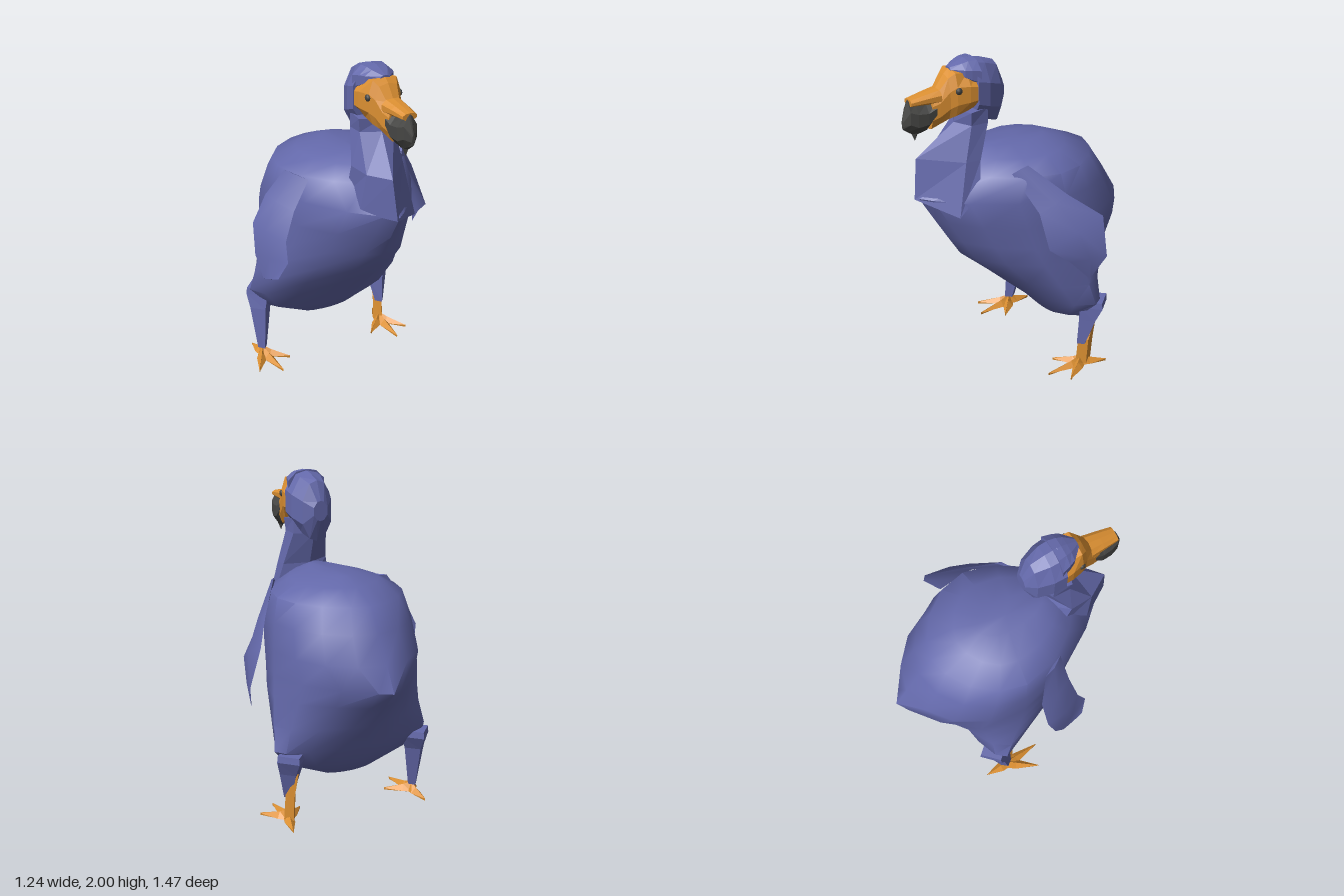
import * as THREE from 'three';
import { toCreasedNormals } from 'three/addons/utils/BufferGeometryUtils.js';

const mat = (name, color) => {
  const m = new THREE.MeshStandardMaterial({ color });
  m.name = name;
  return m;
};

// Closed skin over a list of equal-length point rings; smooth or faceted
function loft(rings, smooth = false) {
  const n = rings[0].length, pos = [], idx = [];
  rings.forEach(r => r.forEach(p => pos.push(...p)));
  for (let i = 0; i < rings.length - 1; i++) {
    for (let j = 0; j < n; j++) {
      const a = i * n + j, b = i * n + (j + 1) % n;
      idx.push(a, b, b + n, a, b + n, a + n);
    }
  }
  // end caps around ring centres
  [0, rings.length - 1].forEach((k, end) => {
    const c = pos.length / 3;
    pos.push(...[0, 1, 2].map(d => rings[k].reduce((s, p) => s + p[d], 0) / n));
    for (let j = 0; j < n; j++) {
      const a = k * n + j, b = k * n + (j + 1) % n;
      end ? idx.push(a, b, c) : idx.push(b, a, c);
    }
  });
  // turn the skin outwards
  const v = i => new THREE.Vector3(pos[i * 3], pos[i * 3 + 1], pos[i * 3 + 2]);
  let volume = 0;
  for (let i = 0; i < idx.length; i += 3) {
    volume += v(idx[i]).dot(v(idx[i + 1]).cross(v(idx[i + 2])));
  }
  if (volume < 0) idx.reverse();
  let g = new THREE.BufferGeometry();
  g.setAttribute('position', new THREE.Float32BufferAttribute(pos, 3));
  g.setIndex(idx);
  if (smooth) return toCreasedNormals(g, 0.9);
  g = g.toNonIndexed();
  g.computeVertexNormals();
  return g;
}

// Horizontal body ring, tapering towards breast and tail
function level(y, front, back, half, mid, frontSharp, backSharp) {
  return Array.from({ length: 16 }, (_, i) => {
    const a = (i / 16) * Math.PI * 2, c = Math.cos(a), s = Math.sin(a);
    const x = Math.sign(s) * Math.pow(Math.abs(s), c > 0 ? frontSharp : backSharp) * half;
    return [x - 0.025, y, mid + c * (c > 0 ? front - mid : mid - back)];
  });
}

// Upright ten-point head ring at depth z
function slice(z, bottom, top, half, flat = 0.5) {
  const m = (top + bottom) / 2, h = (top - bottom) / 2;
  return [[0, 1], [flat, 0.9], [1, 0.35], [1, -0.4], [flat, -0.9], [0, -1],
    [-flat, -0.9], [-1, -0.4], [-1, 0.35], [-flat, 0.9]]
    .map(([x, y]) => [-0.01 + x * half, m + y * h, z]);
}

export function createModel() {
  const model = new THREE.Group();
  const blue = mat('blue plumage', 0x6469ab);
  const orange = mat('orange skin', 0xdc9032);
  const dark = mat('dark horn', 0x464644);
  const add = (name, geometry, material, parent = model) => {
    const mesh = new THREE.Mesh(geometry, material);
    mesh.name = name;
    parent.add(mesh);
    return mesh;
  };

  // Body: y, front z, back z, half width, z of widest point, front and back taper
  add('body', loft([
    [0.26, -0.16, -0.25, 0.16, -0.2, 1.2, 1.2],
    [0.36, -0.07, -0.34, 0.4, -0.21, 1.2, 1.2],
    [0.48, 0.06, -0.41, 0.51, -0.25, 1.5, 1.2],
    [0.62, 0.21, -0.47, 0.49, -0.21, 1.5, 1.6],
    [0.78, 0.39, -0.62, 0.465, -0.16, 1.5, 2],
    [0.9, 0.465, -0.73, 0.445, -0.12, 1.6, 1.9],
    [1.04, 0.55, -0.65, 0.435, -0.1, 1.7, 1.05],
    [1.2, 0.645, -0.555, 0.42, -0.08, 1.95, 1.1],
    [1.34, 0.45, -0.47, 0.39, -0.06, 1.6, 1.3],
    [1.41, 0.34, -0.3, 0.26, -0.05, 1.3, 1.2],
    [1.45, 0.25, -0.18, 0.1, -0.02, 1.2, 1.2],
  ].map(r => level(...r)), true), blue);

  // Neck: slanting front facet that ends in a point on the left of the breast
  add('neck', loft([
    [[-0.05, 1.19, 0.662], [0.175, 1.12, 0.49], [0.18, 1.25, 0.36],
      [0, 1.35, 0.2], [-0.17, 1.25, 0.3], [-0.18, 1.2, 0.47]],
    [[-0.07, 1.43, 0.635], [0.13, 1.43, 0.42], [0.135, 1.43, 0.33],
      [-0.01, 1.44, 0.26], [-0.17, 1.44, 0.36], [-0.155, 1.43, 0.5]],
    [[-0.01, 1.63, 0.42], [0.1, 1.63, 0.365], [0.1, 1.63, 0.26],
      [-0.01, 1.63, 0.2], [-0.12, 1.63, 0.26], [-0.12, 1.63, 0.365]],
    [[-0.01, 1.7, 0.41], [0.11, 1.71, 0.37], [0.1, 1.72, 0.26],
      [-0.01, 1.72, 0.2], [-0.12, 1.72, 0.26], [-0.13, 1.71, 0.37]],
  ]), blue);

  // Hood over the back of the head, with a peaked cap reaching over the face
  add('hood', loft([
    slice(0.115, 1.72, 1.84, 0.045),
    slice(0.165, 1.59, 1.955, 0.095),
    slice(0.25, 1.62, 1.985, 0.125, 0.55),
    slice(0.325, 1.65, 2.0, 0.13, 0.55),
  ]), blue);
  add('cap', loft([
    slice(0.3, 1.82, 2.0, 0.12, 0.55),
    slice(0.35, 1.85, 1.997, 0.105, 0.55),
    slice(0.385, 1.88, 1.985, 0.09, 0.55),
    slice(0.445, 1.93, 1.96, 0.03),
  ]), blue);

  // Bare face running into the beak
  add('face', loft([
    slice(0.315, 1.72, 1.92, 0.125, 0.6),
    slice(0.37, 1.7, 1.945, 0.12, 0.65),
    slice(0.44, 1.68, 1.955, 0.1, 0.75),
    slice(0.475, 1.665, 1.925, 0.08, 0.7),
    slice(0.53, 1.64, 1.85, 0.066, 0.6),
    slice(0.575, 1.62, 1.835, 0.054, 0.6),
  ]), orange);
  add('beakRidge', loft([
    slice(0.52, 1.765, 1.855, 0.066, 0.6),
    slice(0.6, 1.775, 1.84, 0.056, 0.6),
    slice(0.695, 1.78, 1.82, 0.044, 0.6),
  ]), orange);
  add('beakTip', loft([
    slice(0.55, 1.69, 1.785, 0.062, 0.6),
    slice(0.6, 1.62, 1.79, 0.062, 0.4),
    slice(0.66, 1.6, 1.805, 0.054, 0.3),
    slice(0.702, 1.625, 1.815, 0.042, 0.25),
    slice(0.735, 1.65, 1.71, 0.008),
  ]), dark);
  const hook = add('beakHook', new THREE.ConeGeometry(0.035, 0.08, 4).toNonIndexed(), dark);
  hook.geometry.computeVertexNormals();
  hook.position.set(-0.01, 1.608, 0.663);
  hook.rotation.x = Math.PI;

  // Eyes
  for (const side of [1, -1]) {
    const eye = add(side > 0 ? 'leftEye' : 'rightEye', new THREE.SphereGeometry(0.021, 8, 6), dark);
    eye.position.set(-0.01 + side * 0.1, 1.845, 0.432);
    eye.scale.x = 0.7;
  }

  // Wings: pairs of front and back edge points with a slight bulge between
  const wing = (name, side, pairs) => add(name, loft(pairs.map(([f, b], i) => {
    const t = [0.015, 0.025, 0.025, 0.015, 0.002][i];
    const mid = d => [(f[0] + b[0]) / 2 + side * d, (f[1] + b[1]) / 2 + d * 0.5, (f[2] + b[2]) / 2];
    return [f, mid(t), b, mid(-t * 0.4)];
  }), true), blue);
  wing('leftWing', 1, [
    [[0.26, 1.36, 0.2], [0.3, 1.41, 0.12]],
    [[0.41, 1.15, 0.11], [0.44, 1.24, -0.06]],
    [[0.51, 0.96, 0.105], [0.55, 1.11, -0.23]],
    [[0.54, 0.86, -0.02], [0.615, 0.88, -0.22]],
    [[0.57, 0.74, -0.13], [0.575, 0.745, -0.14]],
  ]);
  wing('rightWing', -1, [
    [[-0.35, 1.33, 0.19], [-0.43, 1.36, 0.05]],
    [[-0.45, 1.16, 0.2], [-0.52, 1.2, -0.02]],
    [[-0.52, 1.0, 0.23], [-0.605, 1.04, -0.02]],
    [[-0.535, 0.89, 0.28], [-0.62, 0.86, 0.03]],
    [[-0.58, 0.78, 0.24], [-0.605, 0.73, 0.1]],
  ]);

  // Legs: thigh, optional bare shank and foot with four toes
  const box = (x, y, z, w, d) =>
    [[x, y, z + d], [x + w, y, z], [x, y, z - d], [x - w, y, z]];
  function leg(name, x, hip, ankleY, bareShank, toes) {
    const g = new THREE.Group();
    g.name = name;
    model.add(g);
    add('thigh', loft([
      box(hip, 0.47, -0.295, 0.09, 0.095),
      box(hip, 0.43, -0.295, 0.095, 0.1),
      box((hip + x) / 2, 0.34, -0.265, 0.07, 0.07),
      box(x, ankleY, -0.225, 0.03, 0.038),
    ]), blue, g);
    if (bareShank) {
      add('shank', loft([
        box(x - 0.01, 0.35, -0.335, 0.004, 0.004),
        box(x, 0.19, -0.25, 0.032, 0.055),
        box(x, 0.03, -0.235, 0.036, 0.055),
      ]), orange, g);
    }
    for (const [tx, tz] of toes) {
      const dx = tx - x, dz = tz + 0.22, l = Math.hypot(dx, dz);
      const px = (-dz / l) * 0.032, pz = (dx / l) * 0.032;
      const ring = (s, cx, cz, top) => [[cx, top, cz], [cx + px * s, 0.02, cz + pz * s],
        [cx, 0.005, cz], [cx - px * s, 0.02, cz - pz * s]];
      add('toe', loft([
        ring(0.9, x, -0.22, 0.08),
        ring(1, x + dx * 0.3, -0.22 + dz * 0.3, 0.055),
        ring(0.05, tx, tz, 0.015),
      ]), orange, g);
    }
  }
  leg('leftLeg', 0.385, 0.395, 0.17, true,
    [[0.25, -0.1], [0.38, 0.015], [0.5, -0.07], [0.43, -0.38]]);
  leg('rightLeg', -0.475, -0.445, 0.07, false,
    [[-0.585, -0.04], [-0.45, 0.015], [-0.34, -0.11], [-0.48, -0.37]]);

  return model;
}
